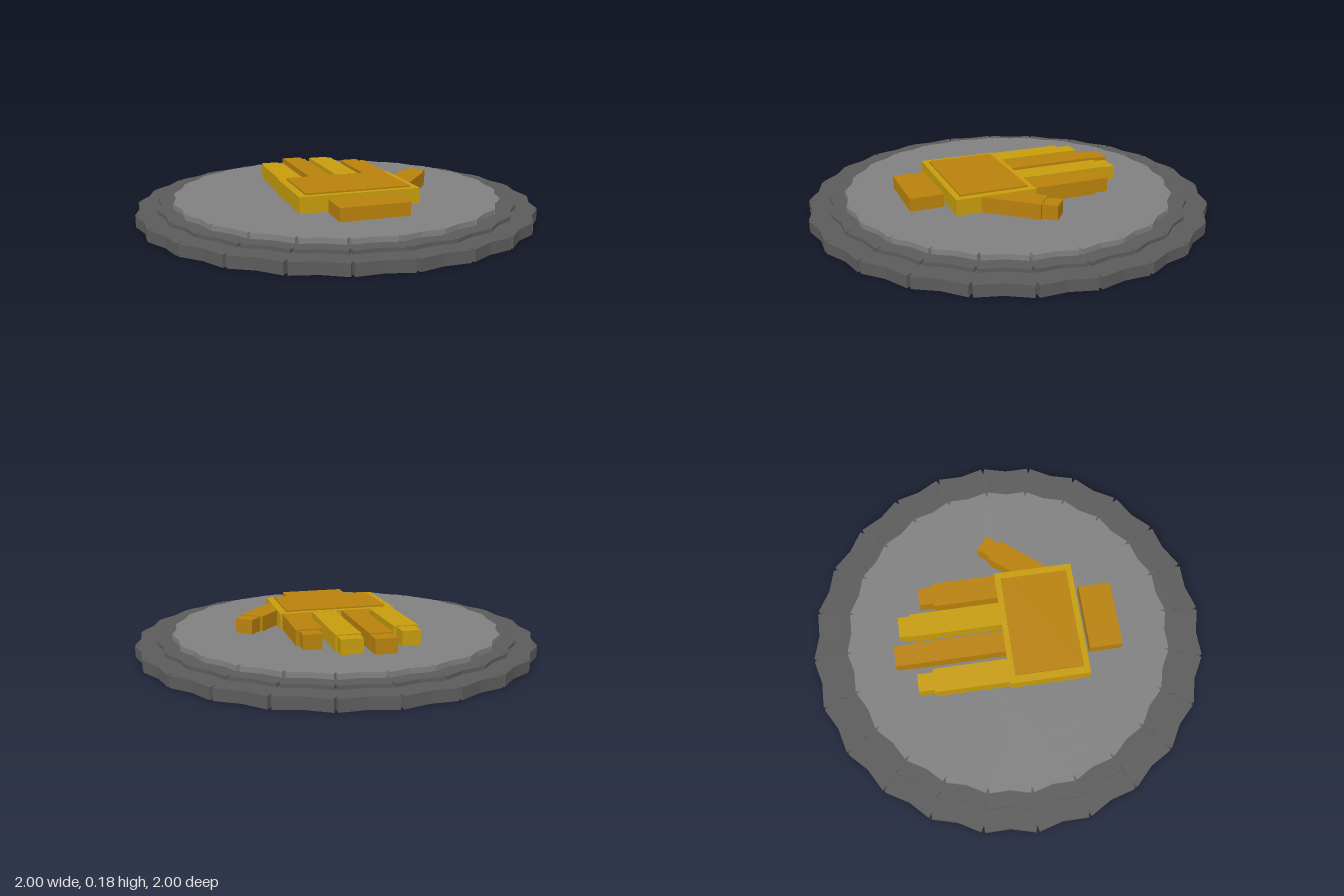
import * as THREE from 'three';

const mat = (name, color) => {
  const m = new THREE.MeshStandardMaterial({ color });
  m.name = name;
  return m;
};

export function createModel() {
  const darkGrey = mat('darkGrey', 0x5b5b5b);
  const midGrey = mat('midGrey', 0x808080);
  const yellow = mat('yellow', 0xc69c0c);
  const amber = mat('amber', 0xb8810c);

  const model = new THREE.Group();
  model.name = 'handBadge';

  // Box given by its x, y and z ranges
  const block = (name, material, [x0, x1], [y0, y1], [z0, z1], parent = model) => {
    const mesh = new THREE.Mesh(new THREE.BoxGeometry(x1 - x0, y1 - y0, z1 - z0), material);
    mesh.position.set((x0 + x1) / 2, (y0 + y1) / 2, (z0 + z1) / 2);
    mesh.name = name;
    parent.add(mesh);
    return mesh;
  };

  // Notched disc: twelve planks crossing at the centre, 15 degrees apart
  const disc = (name, material, reach, halfWidth, y0, y1) => {
    const group = new THREE.Group();
    group.name = name;
    for (let i = 0; i < 12; i++) {
      const plank = block('plank', material, [-reach, reach], [y0, y1], [-halfWidth, halfWidth], group);
      plank.rotation.y = (i * Math.PI) / 12;
    }
    model.add(group);
  };
  disc('baseDisc', darkGrey, 0.967, 0.25, 0, 0.055);
  disc('middleDisc', darkGrey, 0.868, 0.224, 0.02, 0.072);
  disc('topDisc', midGrey, 0.795, 0.205, 0.04, 0.097);

  // Palm, raised pad and wrist
  block('palm', yellow, [-0.3, 0.295], [0.09, 0.175], [-0.03, 0.37]);
  block('palmPad', amber, [-0.262, 0.258], [0.17, 0.183], [0.0, 0.34]);
  block('wrist', amber, [-0.17, 0.167], [0.09, 0.161], [0.39, 0.555]);

  // Fingers: centre x, width, tip width, knuckle z, tip z
  const fingers = [
    ['littleFinger', yellow, -0.23, 0.12, 0.09, -0.4, -0.478],
    ['ringFinger', amber, -0.077, 0.11, 0.105, -0.5, -0.578],
    ['middleFinger', yellow, 0.072, 0.12, 0.105, -0.485, -0.545],
    ['indexFinger', amber, 0.222, 0.125, 0.09, -0.355, -0.428],
  ];
  for (const [name, material, x, w, tipW, z, tipZ] of fingers) {
    block(name, material, [x - w / 2, x + w / 2], [0.09, 0.174], [z, -0.03]);
    block(name + 'Tip', material, [x - tipW / 2, x + tipW / 2], [0.09, 0.168], [tipZ, z]);
  }

  // Thumb, angled outward from the palm
  const thumb = new THREE.Group();
  thumb.name = 'thumb';
  thumb.position.set(0.433, 0, -0.01);
  thumb.rotation.y = THREE.MathUtils.degToRad(-40);
  block('thumbBase', amber, [-0.06, 0.06], [0.09, 0.172], [0, 0.33], thumb);
  block('thumbTip', amber, [-0.045, 0.045], [0.09, 0.168], [-0.075, 0], thumb);
  model.add(thumb);

  return model;
}
